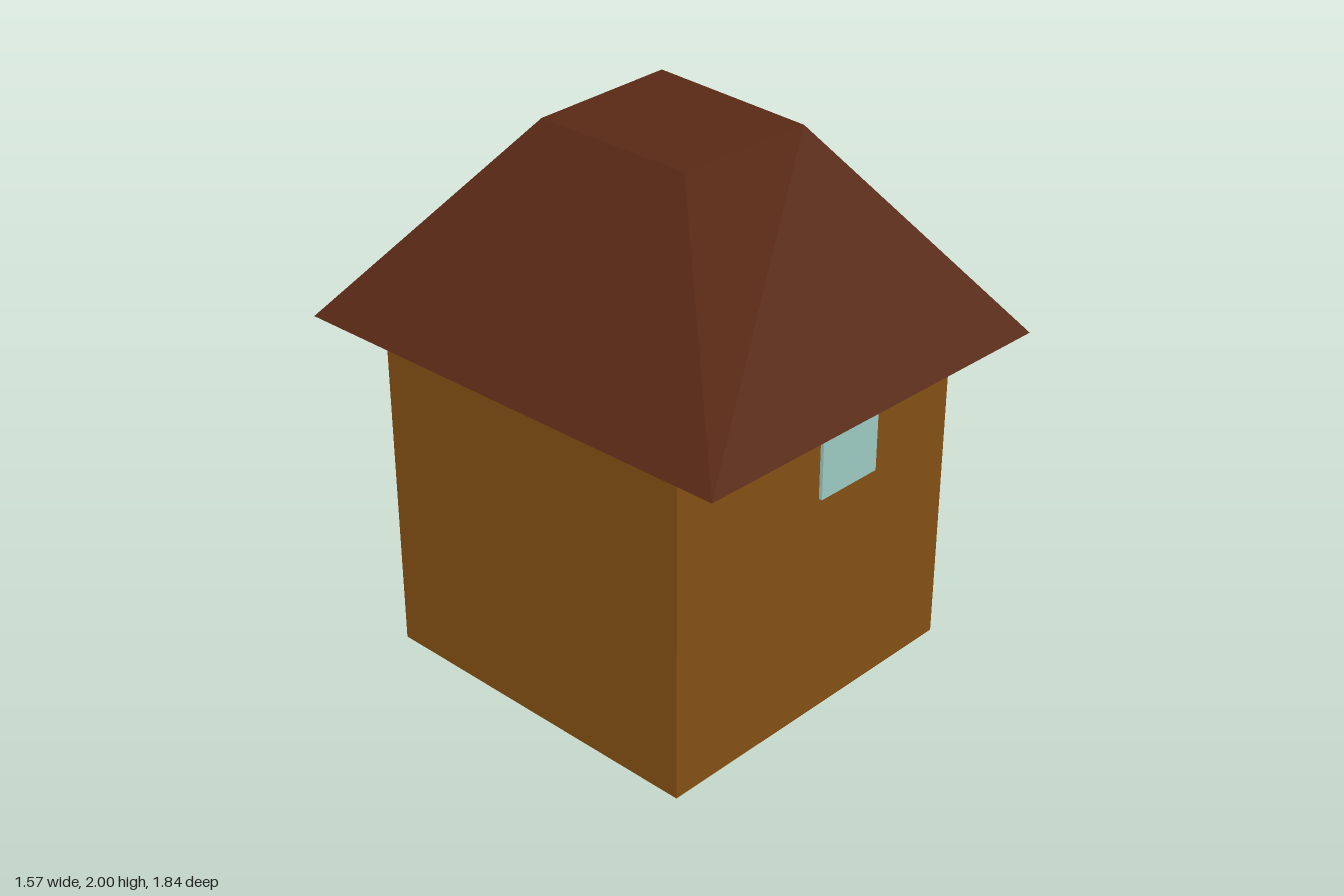
import * as THREE from 'three';

const paint = (color) => new THREE.MeshStandardMaterial({ color, flatShading: true });

// Box given by its lower and upper corners
function block(name, min, max, material) {
  const size = max.map((v, i) => v - min[i]);
  const mesh = new THREE.Mesh(new THREE.BoxGeometry(...size), material);
  mesh.position.set(...max.map((v, i) => (v + min[i]) / 2));
  mesh.name = name;
  return mesh;
}

// Hipped roof: a box whose top corners are pulled in, slightly crooked
function makeRoof(material) {
  const eaves = 1.245, halfX = 0.785, halfZ = 0.918;
  const crown = {
    '-1,-1': [-0.31, 1.99, -0.265],
    '1,-1': [0.29, 2.0, -0.31],
    '1,1': [0.305, 1.95, 0.31],
    '-1,1': [-0.32, 1.975, 0.37],
  };
  const geometry = new THREE.BoxGeometry(2, 2, 2);
  const p = geometry.attributes.position;
  for (let i = 0; i < p.count; i++) {
    const x = p.getX(i), z = p.getZ(i);
    if (p.getY(i) > 0) p.setXYZ(i, ...crown[`${x},${z}`]);
    else p.setXYZ(i, x * halfX, eaves, z * halfZ);
  }
  geometry.computeVertexNormals();
  const roof = new THREE.Mesh(geometry, material);
  roof.name = 'roof';
  return roof;
}

export function createModel() {
  const house = new THREE.Group();
  house.name = 'house';
  const wood = paint(0x5a2a16);
  const blueGlass = paint(0xa4cbd8);
  const greenGlass = paint(0xa4d4cb);
  const paleGlass = paint(0xbfd1d6);

  // Walls and roof
  house.add(block('walls', [-0.672, 0, -0.675], [0.678, 1.245, 0.675], paint(0x8a5514)));
  house.add(makeRoof(wood));

  // Door and windows on the entrance side (+x)
  house.add(block('door', [0.66, 0, -0.215], [0.7, 0.67, 0.2], wood));
  house.add(block('upperWindow', [0.66, 0.845, -0.1], [0.695, 1.13, 0.15], blueGlass));
  house.add(block('lowerFrontWindow', [0.66, 0.33, 0.345], [0.695, 0.62, 0.595], blueGlass));
  house.add(block('lowerBackWindow', [0.66, 0.315, -0.59], [0.697, 0.61, -0.34], paleGlass));

  // Windows on the front and back walls
  house.add(block('frontWindow', [0, 0.835, 0.66], [0.28, 1.11, 0.688], greenGlass));
  house.add(block('backWindow', [-0.45, 0.87, -0.679], [-0.175, 1.105, -0.66], paleGlass));

  return house;
}
